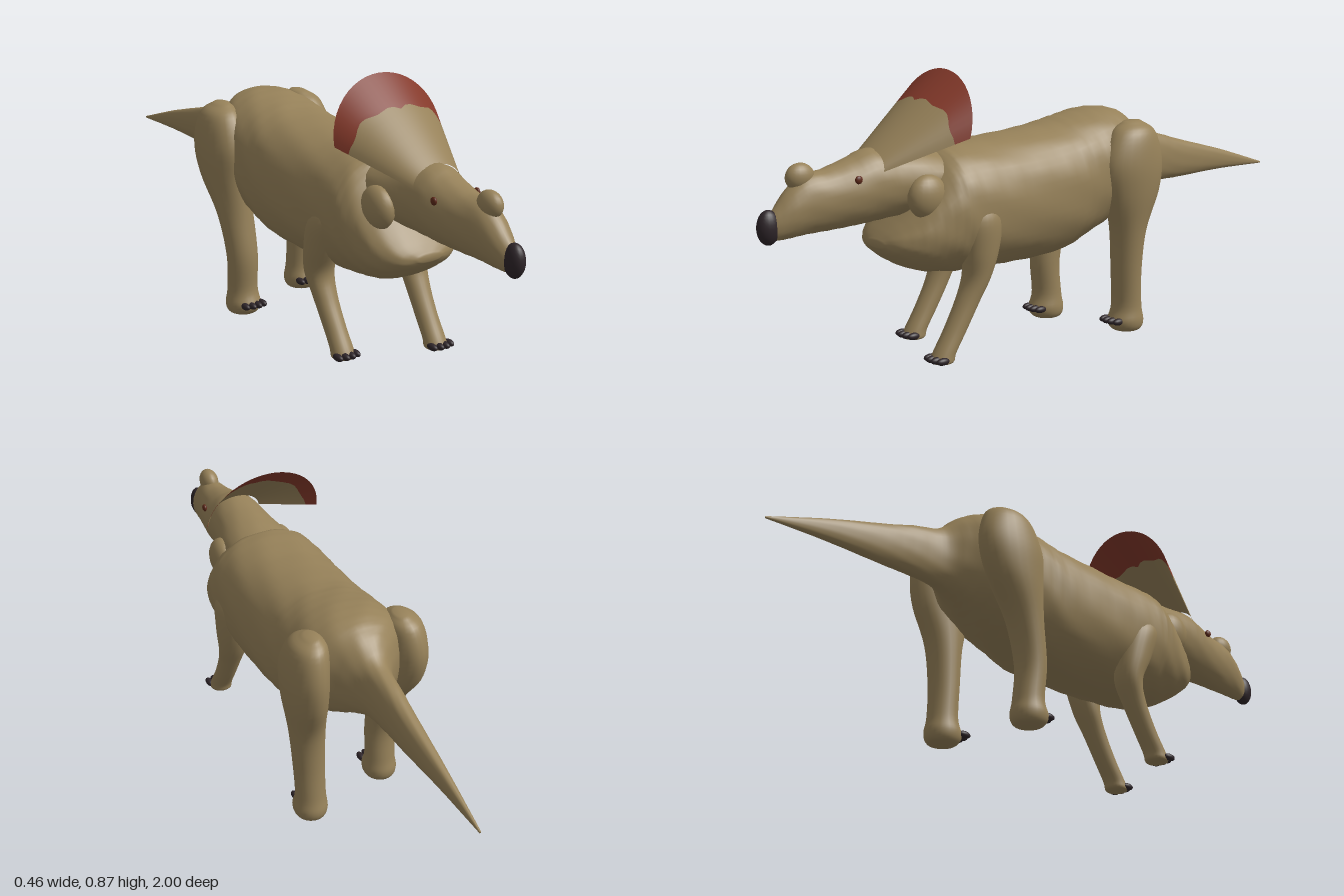
import * as THREE from 'three';

const hide = new THREE.MeshStandardMaterial({ color: 0x968159 });
hide.name = 'tanHide';
const frillTan = new THREE.MeshStandardMaterial({ color: 0x968159, side: THREE.DoubleSide });
frillTan.name = 'tanFrill';
const frillRed = new THREE.MeshStandardMaterial({ color: 0x84392a, side: THREE.DoubleSide });
frillRed.name = 'rustRed';
const horn = new THREE.MeshStandardMaterial({ color: 0x2e2529 });
horn.name = 'darkHorn';
const eyeMat = new THREE.MeshStandardMaterial({ color: 0x5e2a1a });
eyeMat.name = 'eyeBrown';

function add(parent, name, geometry, material) {
  const mesh = new THREE.Mesh(geometry, material);
  mesh.name = name;
  parent.add(mesh);
  return mesh;
}

function ellipsoid(parent, name, material, pos, radii) {
  const mesh = add(parent, name, new THREE.SphereGeometry(1, 20, 14), material);
  mesh.position.set(...pos);
  mesh.scale.set(...radii);
  return mesh;
}

// Smooth skin through elliptical rings [x, y, z, radiusX, radiusV].
// Rings stand upright (front to back) or lie flat (top to bottom).
function loft(stations, { flat = false, power = 2, lumps = 0, around = 32, steps = 5 } = {}) {
  const centres = new THREE.CatmullRomCurve3(
    stations.map((s) => new THREE.Vector3(s[0], s[1], s[2])), false, 'catmullrom', 0.5);
  const radii = new THREE.CatmullRomCurve3(
    stations.map((s) => new THREE.Vector3(s[3], s[4], 0)), false, 'catmullrom', 0.5);
  const rings = (stations.length - 1) * steps;
  const pos = [], index = [];
  const bend = (v) => Math.sign(v) * Math.pow(Math.abs(v), 2 / power);
  for (let i = 0; i <= rings; i++) {
    const c = centres.getPoint(i / rings), r = radii.getPoint(i / rings);
    for (let j = 0; j < around; j++) {
      const a = (j / around) * Math.PI * 2;
      const k = 1 + lumps * Math.sin(i * 1.3 + 4 * a) * Math.sin(7 * a - i * 0.7);
      const u = bend(Math.cos(a)) * Math.max(r.x, 0.001) * k;
      const v = bend(Math.sin(a)) * Math.max(r.y, 0.001) * k;
      if (flat) pos.push(c.x + u, c.y, c.z - v);
      else pos.push(c.x + u, c.y + v, c.z);
    }
  }
  for (let i = 0; i < rings; i++) {
    for (let j = 0; j < around; j++) {
      const a = i * around + j, b = i * around + ((j + 1) % around);
      index.push(a, a + around, b, b, a + around, b + around);
    }
  }
  // End caps
  const first = stations[0], last = stations[stations.length - 1];
  const n = pos.length / 3;
  pos.push(first[0], first[1], first[2], last[0], last[1], last[2]);
  for (let j = 0; j < around; j++) {
    const k = (j + 1) % around;
    index.push(n, j, k, n + 1, rings * around + k, rings * around + j);
  }
  const g = new THREE.BufferGeometry();
  g.setAttribute('position', new THREE.Float32BufferAttribute(pos, 3));
  g.setIndex(index);
  g.computeVertexNormals();
  return g;
}

// Upright ring from [z, bottom, top, halfWidth]
const slice = ([z, bottom, top, w]) => [0, (bottom + top) / 2, z, w, (top - bottom) / 2];

// Curved fan between two fractions of the way from the skull to the rim
function fan(from, to) {
  const cols = 24, rows = 6, pos = [], index = [];
  for (let i = 0; i <= rows; i++) {
    for (let j = 0; j <= cols; j++) {
      const a = (j / cols) * 2 - 1, s = Math.sin(a * Math.PI / 2), c = Math.cos(a * Math.PI / 2);
      const t = THREE.MathUtils.lerp(from(a), to(a), i / rows);
      pos.push(
        THREE.MathUtils.lerp(0.085 * s, 0.192 * s, t),
        THREE.MathUtils.lerp(0.605 + 0.055 * c, 0.69 + 0.18 * c, t),
        THREE.MathUtils.lerp(0.635 - 0.01 * c, 0.41 - 0.05 * c, t));
      if (i < rows && j < cols) {
        const p = i * (cols + 1) + j, q = p + cols + 1;
        index.push(p, p + 1, q, p + 1, q + 1, q);
      }
    }
  }
  const g = new THREE.BufferGeometry();
  g.setAttribute('position', new THREE.Float32BufferAttribute(pos, 3));
  g.setIndex(index);
  g.computeVertexNormals();
  return g;
}

// A leg with its claws; stride moves the lower part along z
function leg(parent, name, stations, side, stride, claw) {
  const group = new THREE.Group();
  group.name = name;
  const moved = stations.map(([x, y, z, rx, rz]) =>
    [x * side, y, z + stride * THREE.MathUtils.clamp((0.5 - y) / 0.25, 0, 1), rx, rz]);
  add(group, 'limb', loft(moved, { flat: true, around: 24 }), hide);
  for (let i = 0; i < 4; i++) {
    const off = i - 1.5;
    ellipsoid(group, 'claw', horn,
      [side * claw[0] + off * 0.021, 0.043, claw[1] + stride - Math.abs(off) * 0.006],
      [0.011, 0.011, 0.022]);
  }
  parent.add(group);
}

export function createModel() {
  const model = new THREE.Group();
  model.name = 'hornedDinosaur';

  // Barrel body running into the tapering tail
  add(model, 'bodyAndTail', loft([
    [0.612, 0.37, 0.39, 0.04], [0.59, 0.345, 0.42, 0.1], [0.54, 0.31, 0.48, 0.145],
    [0.48, 0.285, 0.56, 0.17], [0.42, 0.275, 0.63, 0.185], [0.36, 0.268, 0.65, 0.19],
    [0.2, 0.265, 0.655, 0.192], [0, 0.27, 0.672, 0.19], [-0.1, 0.3, 0.69, 0.185],
    [-0.2, 0.34, 0.705, 0.178], [-0.28, 0.38, 0.7, 0.15], [-0.34, 0.41, 0.67, 0.095],
    [-0.4, 0.43, 0.62, 0.052], [-0.5, 0.437, 0.595, 0.04], [-0.6, 0.438, 0.565, 0.033],
    [-0.8, 0.443, 0.51, 0.018], [-1, 0.44, 0.446, 0.003],
  ].map(slice), { power: 2.25, lumps: 0.01, around: 48, steps: 6 }), hide);

  // Head and neck
  add(model, 'headAndNeck', loft([
    [0.965, 0.44, 0.5, 0.015], [0.94, 0.435, 0.53, 0.03], [0.9, 0.437, 0.575, 0.045],
    [0.85, 0.44, 0.61, 0.055], [0.78, 0.443, 0.62, 0.068], [0.7, 0.445, 0.642, 0.083],
    [0.64, 0.45, 0.662, 0.09], [0.56, 0.455, 0.657, 0.097], [0.46, 0.46, 0.645, 0.112],
    [0.38, 0.47, 0.63, 0.11],
  ].map(slice), { lumps: 0.012 }), hide);
  ellipsoid(model, 'noseBump', hide, [0, 0.605, 0.86], [0.03, 0.04, 0.045]);
  ellipsoid(model, 'beak', horn, [0, 0.475, 0.965], [0.027, 0.05, 0.035]);

  // Neck frill with a wavy painted rim
  const edge = (a) => 0.6 + 0.2 * Math.abs(a) + 0.02 * Math.sin(Math.abs(a) * 14);
  const frill = new THREE.Group();
  frill.name = 'frill';
  add(frill, 'frillBase', fan(() => 0, edge), frillTan);
  add(frill, 'frillRim', fan(edge, () => 1), frillRed);
  model.add(frill);

  const hindLeg = [
    [0.145, 0.675, -0.26, 0.02, 0.03], [0.155, 0.64, -0.255, 0.055, 0.08],
    [0.163, 0.55, -0.245, 0.066, 0.113], [0.162, 0.45, -0.245, 0.064, 0.1],
    [0.152, 0.33, -0.24, 0.056, 0.06], [0.146, 0.2, -0.24, 0.05, 0.048],
    [0.143, 0.09, -0.245, 0.048, 0.048], [0.143, 0.04, -0.242, 0.054, 0.06],
    [0.143, 0.012, -0.245, 0.045, 0.048], [0.143, 0.002, -0.248, 0.02, 0.02],
  ];
  const frontLeg = [
    [0.14, 0.5, 0.33, 0.03, 0.04], [0.148, 0.44, 0.335, 0.05, 0.065],
    [0.145, 0.35, 0.34, 0.052, 0.058], [0.14, 0.27, 0.352, 0.047, 0.042],
    [0.138, 0.2, 0.385, 0.038, 0.037], [0.137, 0.12, 0.43, 0.034, 0.036],
    [0.137, 0.06, 0.468, 0.035, 0.035], [0.137, 0.035, 0.478, 0.036, 0.036],
    [0.137, 0.028, 0.478, 0.025, 0.022],
  ];
  for (const side of [1, -1]) {
    const word = side > 0 ? 'left' : 'right';
    ellipsoid(model, word + 'Eye', eyeMat, [side * 0.077, 0.59, 0.715], [0.007, 0.012, 0.012]);
    ellipsoid(model, word + 'NeckFold', hide, [side * 0.105, 0.52, 0.5], [0.04, 0.065, 0.065]);
    leg(model, word + 'HindLeg', hindLeg, side, side > 0 ? 0 : 0.09, [0.137, -0.18]);
    leg(model, word + 'FrontLeg', frontLeg, side, side > 0 ? 0 : -0.095, [0.139, 0.508]);
  }
  return model;
}
